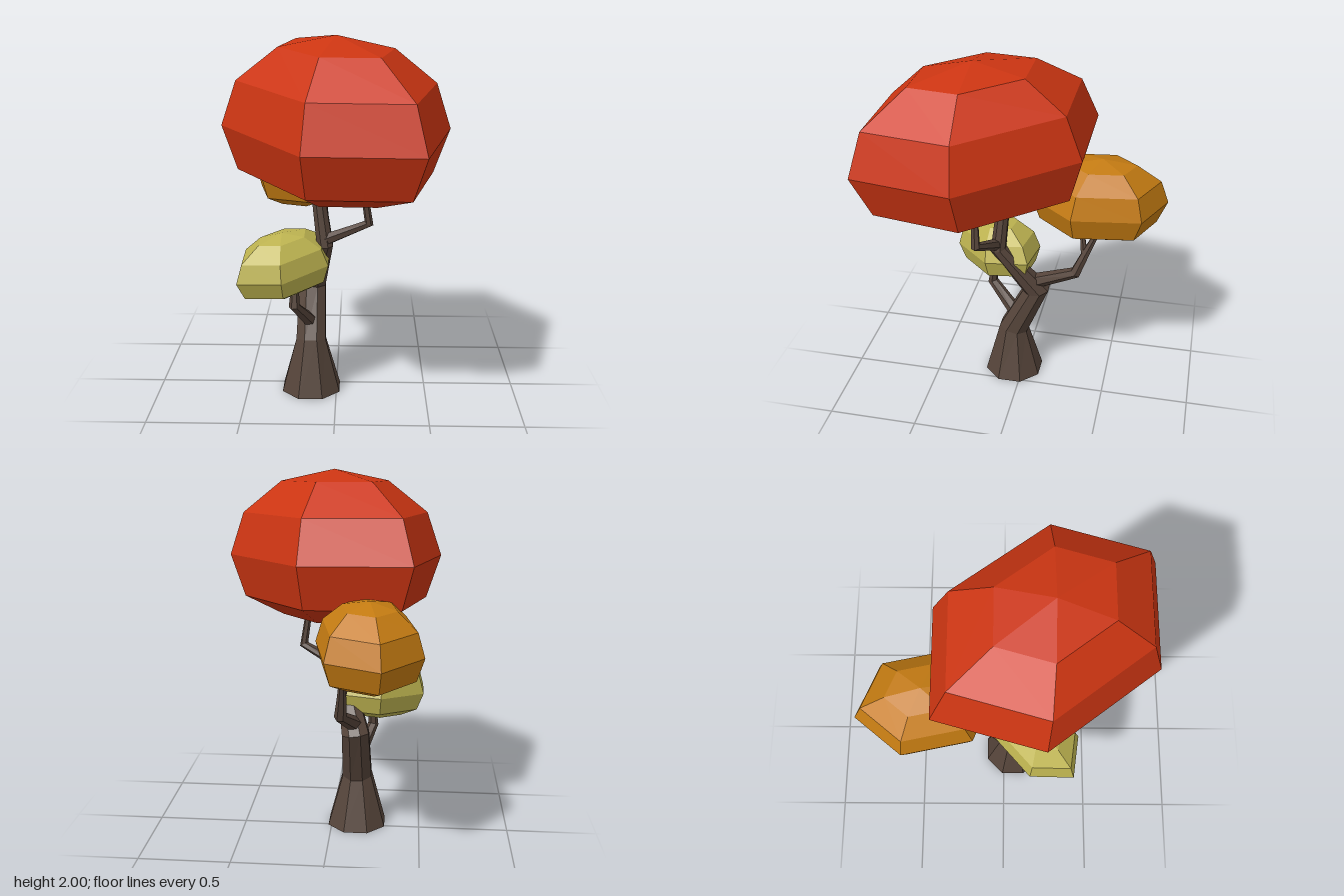
import * as THREE from 'three';

const paint = (color) => new THREE.MeshStandardMaterial({ color, flatShading: true, side: THREE.DoubleSide });

// Faceted limb swept through points [x, y, z, radius]
function limb(name, points, sides, material) {
  const centres = points.map((p) => new THREE.Vector3(p[0], p[1], p[2]));
  const up = new THREE.Vector3(0, 1, 0);
  const pos = [], index = [];
  centres.forEach((c, i) => {
    const dir = new THREE.Vector3();
    if (i > 0) dir.add(c.clone().sub(centres[i - 1]).normalize());
    if (i < centres.length - 1) dir.add(centres[i + 1].clone().sub(c).normalize());
    const turn = new THREE.Quaternion().setFromUnitVectors(up, dir.normalize());
    for (let s = 0; s < sides; s++) {
      const a = ((s + 0.5) / sides) * Math.PI * 2;
      const v = new THREE.Vector3(Math.sin(a), 0, Math.cos(a)).multiplyScalar(points[i][3]);
      pos.push(...v.applyQuaternion(turn).add(c).toArray());
      if (i > 0) {
        const n = (s + 1) % sides, lo = (i - 1) * sides, hi = i * sides;
        index.push(lo + s, lo + n, hi + n, lo + s, hi + n, hi + s);
      }
    }
  });
  // Close the tip
  const last = (points.length - 1) * sides;
  for (let s = 1; s < sides - 1; s++) index.push(last, last + s, last + s + 1);
  const geo = new THREE.BufferGeometry();
  geo.setAttribute('position', new THREE.Float32BufferAttribute(pos, 3));
  geo.setIndex(index);
  const flat = geo.toNonIndexed();
  flat.computeVertexNormals();
  const mesh = new THREE.Mesh(flat, material);
  mesh.name = name;
  return mesh;
}

// Six-sided foliage ball: p0 and p1 are neighbouring corners [x, z] of its
// widest ring; the underside is flattened and the ball slightly tilted
function foliage(name, centre, height, p0, p1, tilt, color) {
  const geo = new THREE.SphereGeometry(1, 6, 6).toNonIndexed();
  const pos = geo.attributes.position;
  const k = Math.sqrt(0.75);
  const b = [(p1[0] - p0[0] / 2) / k, (p1[1] - p0[1] / 2) / k];
  for (let i = 0; i < pos.count; i++) {
    const x = pos.getX(i), z = pos.getZ(i);
    let y = pos.getY(i);
    if (y < -0.6) y = -0.5 + (y + 0.5) * 0.6;
    const nx = -x * p0[0] + z * b[0];
    const nz = -x * p0[1] + z * b[1];
    const ny = y * height;
    pos.setXYZ(i, nx - tilt[0] * ny, ny + tilt[0] * nx + tilt[1] * nz, nz - tilt[1] * ny);
  }
  geo.computeVertexNormals();
  const mesh = new THREE.Mesh(geo, paint(color));
  mesh.name = name;
  mesh.position.set(...centre);
  return mesh;
}

export function createModel() {
  const tree = new THREE.Group();
  tree.name = 'tree';
  const bark = paint(0x55443a);

  // Crooked trunk, open underneath
  tree.add(limb('trunk', [
    [-0.142, 0, 0.057, 0.173], [-0.142, 0.3, 0.057, 0.088], [-0.138, 0.59, -0.075, 0.08],
    [-0.06, 0.88, 0.13, 0.047], [-0.105, 1.22, 0.1, 0.036],
  ], 8, bark));

  // Branches
  tree.add(limb('upperBranch', [
    [-0.07, 0.9, 0.13, 0.035], [0.175, 1.02, 0.2, 0.026], [0.145, 1.22, 0.21, 0.018],
  ], 6, bark));
  tree.add(limb('backBranch', [
    [-0.13, 0.64, -0.06, 0.045], [-0.07, 0.77, -0.31, 0.033], [-0.08, 0.88, -0.355, 0.025], [-0.09, 1.03, -0.42, 0.016],
  ], 6, bark));
  tree.add(limb('backTwig', [
    [-0.08, 0.88, -0.355, 0.02], [-0.12, 1.03, -0.33, 0.013],
  ], 6, bark));
  tree.add(limb('frontBranch', [
    [-0.15, 0.41, 0.06, 0.04], [-0.225, 0.55, 0.205, 0.03], [-0.22, 0.67, 0.19, 0.02],
  ], 6, bark));

  // Foliage
  tree.add(foliage('largeFoliage', [0, 1.535, 0.21], 0.465, [-0.585, 0], [-0.148, 0.565], [-0.01, -0.06], 0xcc3512));
  tree.add(foliage('backFoliage', [-0.22, 1.165, -0.41], 0.25, [-0.28, -0.12], [-0.205, 0.25], [0.01, 0.03], 0xc47b12));
  tree.add(foliage('frontFoliage', [-0.275, 0.77, 0.175], 0.19, [-0.235, -0.03], [-0.235, 0.215], [0.06, -0.08], 0xbdb350));

  return tree;
}
